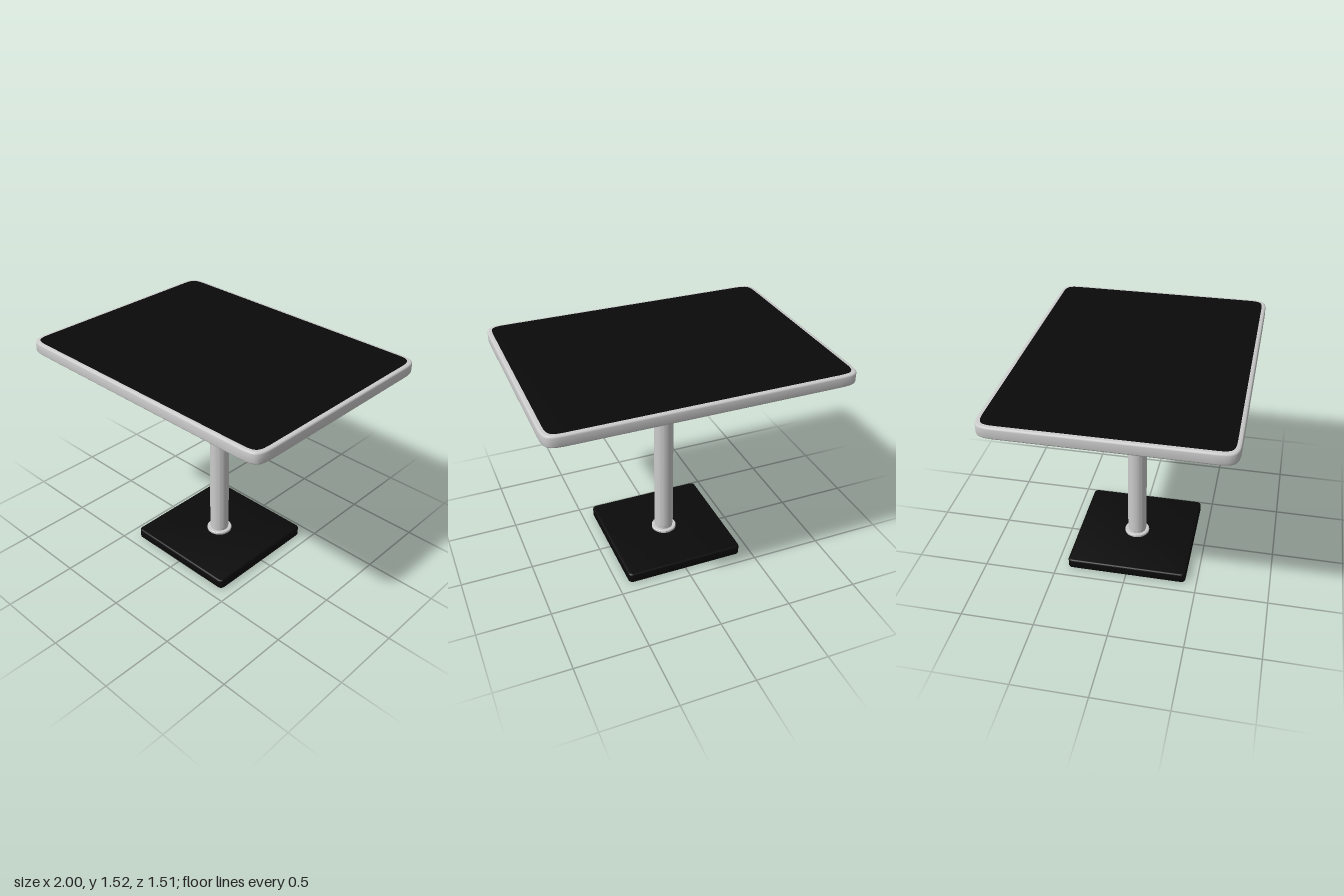
import * as THREE from 'three';
import { toCreasedNormals } from 'three/addons/utils/BufferGeometryUtils.js';

const grey = new THREE.MeshStandardMaterial({ color: 0xcccccc });
const black = new THREE.MeshStandardMaterial({ color: 0x0a0a0a });

// Rectangle with soft corners: long = where the curve starts, short = how close it hugs the corner
function softRect(w, d, long, short) {
  const s = new THREE.Shape();
  s.moveTo(-w + long, -d);
  s.lineTo(w - long, -d);
  s.bezierCurveTo(w - short, -d, w, -d + short, w, -d + long);
  s.lineTo(w, d - long);
  s.bezierCurveTo(w, d - short, w - short, d, w - long, d);
  s.lineTo(-w + long, d);
  s.bezierCurveTo(-w + short, d, -w, d - short, -w, d - long);
  s.lineTo(-w, -d + long);
  s.bezierCurveTo(-w, -d + short, -w + short, -d, -w + long, -d);
  return s;
}

// Horizontal slab between two heights with rounded edges
function slab(name, shape, y0, y1, bevel, material) {
  const g = new THREE.ExtrudeGeometry(shape, {
    depth: y1 - y0 - 2 * bevel, curveSegments: 10, bevelEnabled: bevel > 0,
    bevelThickness: bevel, bevelSize: bevel, bevelOffset: -bevel, bevelSegments: 3,
  });
  g.rotateX(-Math.PI / 2).translate(0, y0 + bevel, 0);
  const mesh = new THREE.Mesh(toCreasedNormals(g, 0.7), material);
  mesh.name = name;
  return mesh;
}

// Turned part from a closed [radius, height] profile
function turned(name, profile) {
  const g = new THREE.LatheGeometry(profile.map(([r, y]) => new THREE.Vector2(r, y)), 40);
  const mesh = new THREE.Mesh(toCreasedNormals(g, 0.6), grey);
  mesh.name = name;
  return mesh;
}

export function createModel() {
  const table = new THREE.Group();
  table.name = 'pedestalTable';

  // Table top: grey edge band around a black panel seen above and below
  table.add(slab('edgeBand', softRect(1, 0.755, 0.14, 0.02), 1.445, 1.522, 0.012, grey));
  table.add(slab('topPanel', softRect(0.97, 0.727, 0.11, 0.015), 1.442, 1.525, 0, black));

  // Column with slightly stepped ends
  table.add(turned('column', [
    [0, 0.08], [0.063, 0.08], [0.063, 0.108], [0.067, 0.112],
    [0.067, 1.376], [0.063, 1.38], [0.063, 1.435], [0, 1.435],
  ]));

  // Flanges where the column meets the base and the top
  for (const [name, y] of [['lowerFlange', 0.068], ['upperFlange', 1.424]]) {
    table.add(turned(name, [
      [0, y], [0.084, y], [0.088, y + 0.004], [0.088, y + 0.018], [0.084, y + 0.022], [0, y + 0.022],
    ]));
  }

  // Square base plate
  table.add(slab('basePlate', softRect(0.42, 0.42, 0.03, 0.015), 0, 0.07, 0.01, black));
  return table;
}
